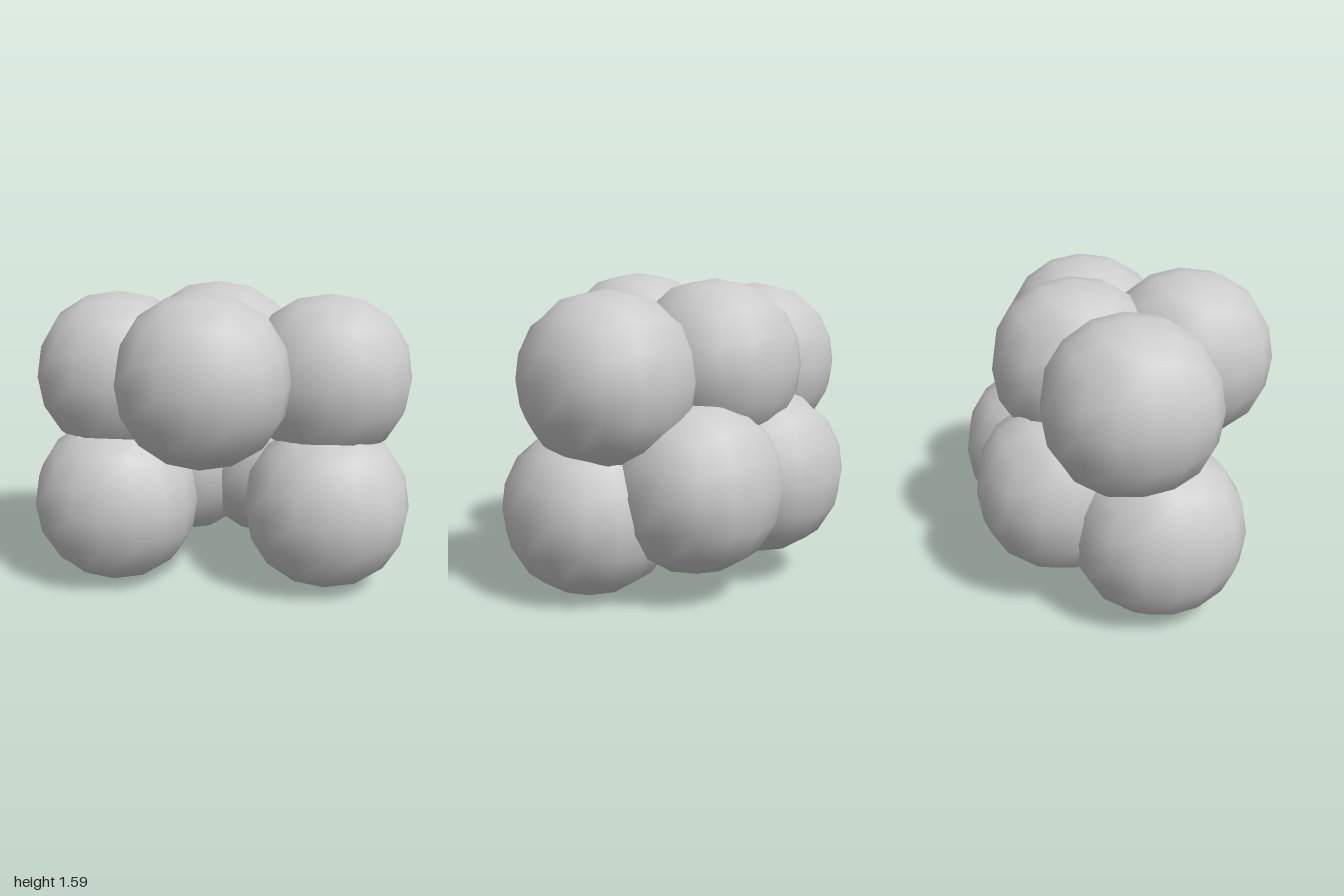
import * as THREE from 'three';
import { mergeVertices } from 'three/addons/utils/BufferGeometryUtils.js';

// Ball made from a subdivided cube: rounded, but very slightly fuller at the cube's edges and corners
function ballGeometry(radius) {
  const box = new THREE.BoxGeometry(2, 2, 2, 4, 4, 4);
  box.deleteAttribute('uv');
  box.deleteAttribute('normal');
  const geometry = mergeVertices(box);
  const pos = geometry.attributes.position;
  const p = new THREE.Vector3();
  const warp = (c) => Math.tan((c * Math.PI) / 4);
  for (let i = 0; i < pos.count; i++) {
    p.fromBufferAttribute(pos, i);
    p.set(warp(p.x), warp(p.y), warp(p.z)).normalize();
    const u = 1 - (p.x ** 4 + p.y ** 4 + p.z ** 4);
    p.multiplyScalar(radius * (1 + 0.074 * u - 0.04 * u * u));
    pos.setXYZ(i, p.x, p.y, p.z);
  }
  geometry.computeVertexNormals();
  return geometry;
}

export function createModel() {
  const group = new THREE.Group();
  group.name = 'ballCluster';
  const material = new THREE.MeshStandardMaterial({ color: 0xcccccc });
  const geometry = ballGeometry(0.435);

  const addBall = (name, x, y, z) => {
    const ball = new THREE.Mesh(geometry, material);
    ball.name = name;
    ball.position.set(x, y, z);
    group.add(ball);
  };

  // Single balls near the middle of the upper layer
  addBall('upperFrontBall', -0.06, 1.155, 0.355);
  addBall('upperBackBall', -0.04, 1.14, -0.225);

  // Mirrored pairs
  for (const [side, s] of [['Left', 1], ['Right', -1]]) {
    addBall('upperSideBall' + side, s * 0.557, 1.1, -0.063);
    addBall('lowerFrontBall' + side, s * 0.563, 0.437, 0.07);
    addBall('lowerBackBall' + side, s * 0.25, 0.57, -0.355);
  }
  return group;
}
